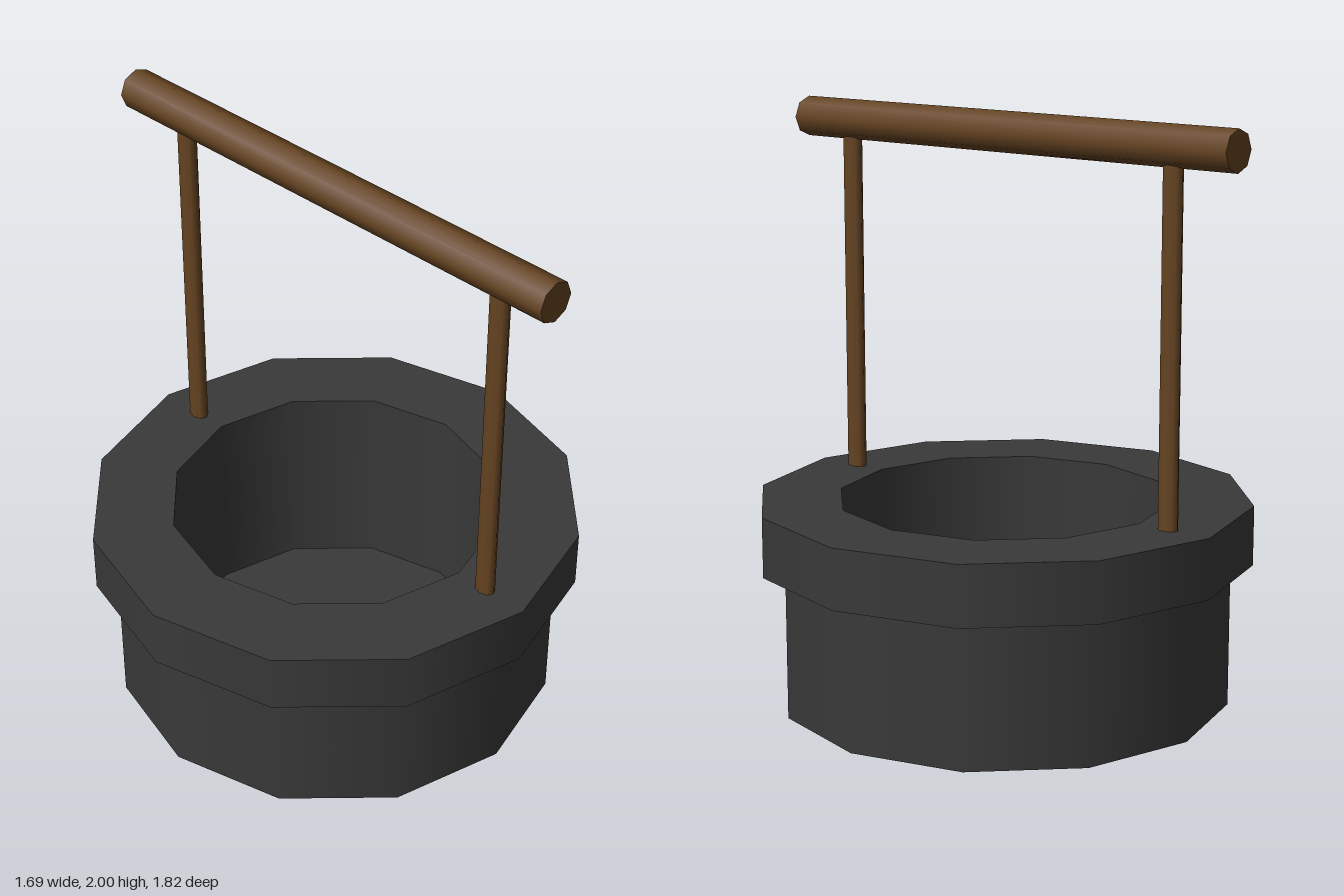
import * as THREE from 'three';

const SIDES = 12;
const CENTRE_Z = 0.017;

export function createModel() {
  const stone = new THREE.MeshStandardMaterial({ color: 0x393939, side: THREE.DoubleSide });
  stone.name = 'dark stone';
  const wood = new THREE.MeshStandardMaterial({ color: 0x654321 });
  wood.name = 'brown wood';

  const model = new THREE.Group();
  model.name = 'well';

  const add = (name, geometry, material, x, y, z) => {
    const mesh = new THREE.Mesh(geometry, material);
    mesh.name = name;
    mesh.position.set(x, y, z);
    model.add(mesh);
    return mesh;
  };

  // Open twelve-sided shell between two heights
  const shell = (name, radius, y0, y1) =>
    add(name, new THREE.CylinderGeometry(radius, radius, y1 - y0, SIDES, 1, true),
      stone, 0, (y0 + y1) / 2, CENTRE_Z);

  // Stone basin: outer wall, overhanging rim and inner shaft
  shell('outerWall', 0.77, 0, 0.495);
  shell('rimSkirt', 0.845, 0.495, 0.7);
  shell('innerShaft', 0.568, 0, 0.7);

  // Flat top of the rim and floor of the shaft
  const rimTop = new THREE.RingGeometry(0.568, 0.845, SIDES, 1).rotateX(-Math.PI / 2);
  add('rimTop', rimTop, stone, 0, 0.7, CENTRE_Z);
  const floor = new THREE.CircleGeometry(0.568, SIDES).rotateX(-Math.PI / 2);
  add('shaftFloor', floor, stone, 0, 0.002, CENTRE_Z);

  // Two slim oval posts, sunk a little through the rim
  const postBottom = 0.58, postTop = 1.88;
  for (const [name, side] of [['frontPost', 1], ['backPost', -1]]) {
    const post = new THREE.CylinderGeometry(0.037, 0.037, postTop - postBottom, 8);
    post.scale(0.74, 1, 1);
    add(name, post, wood, 0, (postBottom + postTop) / 2, CENTRE_Z + side * 0.683);
  }

  // Octagonal crossbeam running front to back
  const beam = new THREE.CylinderGeometry(0.069, 0.069, 1.816, 8).rotateX(Math.PI / 2);
  add('crossbeam', beam, wood, 0, 1.931, 0);

  return model;
}
